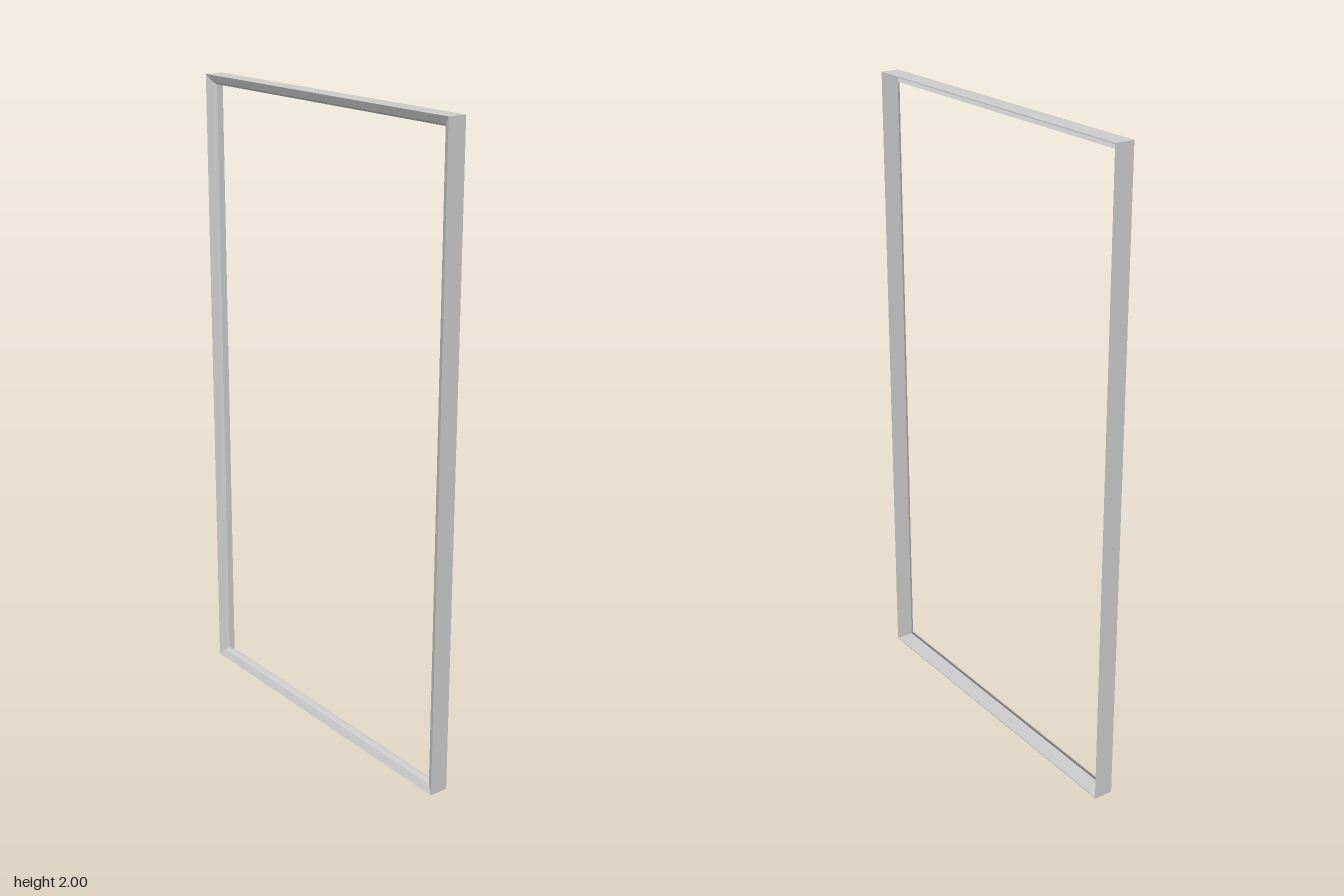
import * as THREE from 'three';

const HALF_W = 0.565, HEIGHT = 2;

// Moulding section as [inset from the outer edge, z]: thin outer wall, sloping front, steeper inner lip, hollow back
const PROFILE = [
  [0, -0.03], [0, 0.03], [0.023, 0.019], [0.03, 0.009], [0.003, 0.025], [0.003, -0.03],
];

// Outer corners, counter-clockwise seen from the front
const CORNERS = [[-1, 0], [1, 0], [1, 1], [-1, 1]];

// Section point placed on a mitred corner
function mitrePoint([sx, sy], [inset, z]) {
  return [sx * (HALF_W - inset), sy ? HEIGHT - inset : inset, z];
}

// One rail, from one mitred corner to the next
function railGeometry(from, to) {
  const positions = [];
  PROFILE.forEach((p, i) => {
    const q = PROFILE[(i + 1) % PROFILE.length];
    const a = mitrePoint(from, p), b = mitrePoint(to, p);
    const c = mitrePoint(to, q), d = mitrePoint(from, q);
    positions.push(...a, ...b, ...c, ...a, ...c, ...d);
  });
  const geometry = new THREE.BufferGeometry();
  geometry.setAttribute('position', new THREE.Float32BufferAttribute(positions, 3));
  geometry.computeVertexNormals();
  return geometry;
}

export function createModel() {
  const frame = new THREE.Group();
  frame.name = 'frame';
  const material = new THREE.MeshStandardMaterial({
    color: 0xcccccc, flatShading: true, side: THREE.DoubleSide,
  });
  ['bottomRail', 'leftRail', 'topRail', 'rightRail'].forEach((name, i) => {
    const rail = new THREE.Mesh(railGeometry(CORNERS[i], CORNERS[(i + 1) % 4]), material);
    rail.name = name;
    frame.add(rail);
  });
  return frame;
}
